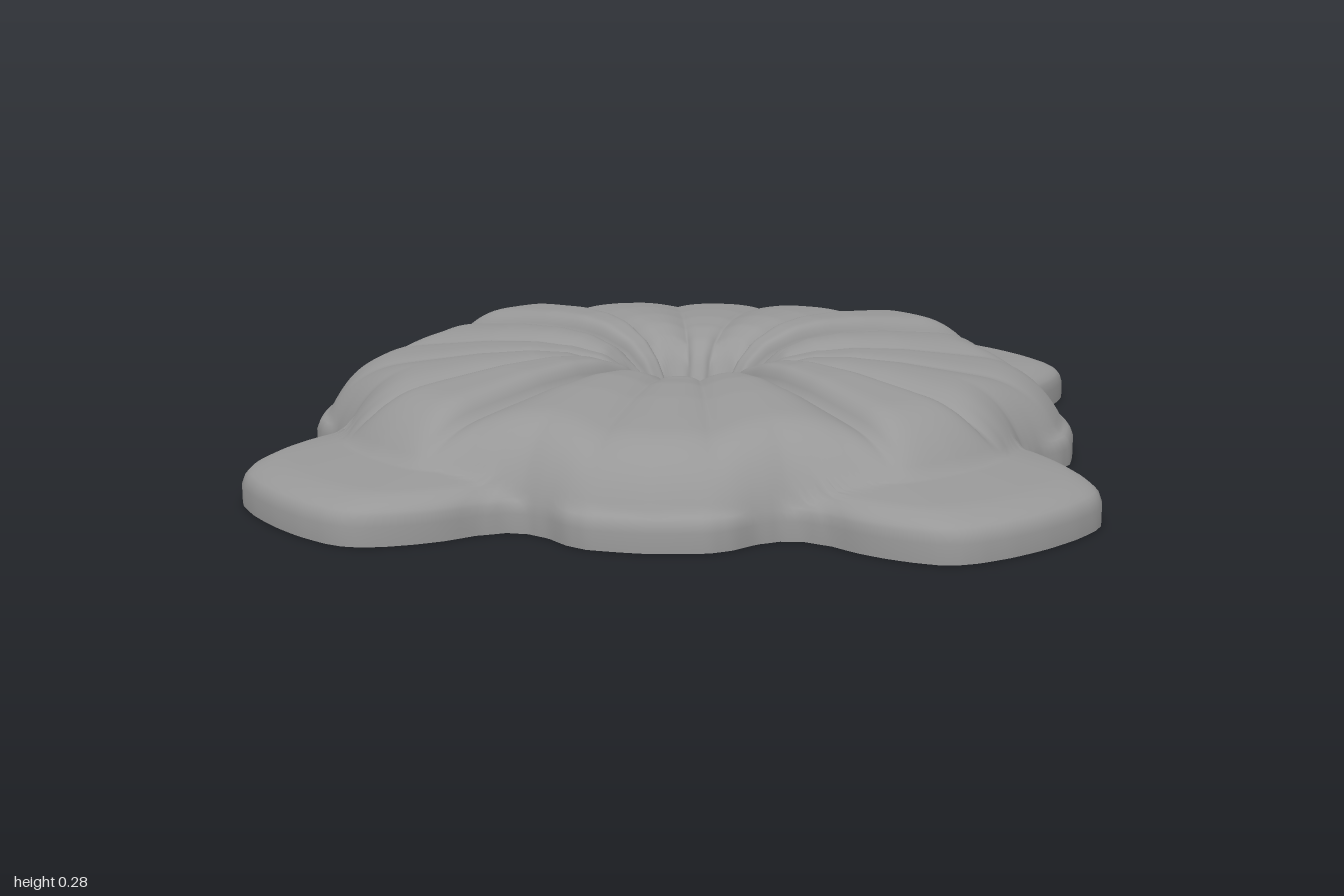
import * as THREE from 'three';

const SEG = 360, RINGS = 80;
const clamp = (v) => Math.min(1, Math.max(0, v));

// Linear lookup in a list of [position, value]
function look(table, v) {
  for (let i = 1; i < table.length; i++) {
    const [a, p] = table[i - 1], [b, q] = table[i];
    if (v <= b) return p + (q - p) * clamp((v - a) / (b - a));
  }
  return table[table.length - 1][1];
}

// Outline radius and foot of the raised petals, by angle (degrees) over one eighth
const OUTLINE = [[0, 0.982], [8, 0.975], [11, 0.957], [14.5, 0.92], [18, 0.908], [21, 0.92], [24, 0.972],
  [26, 1.04], [28, 1.093], [30, 1.139], [32, 1.178], [34, 1.2], [36, 1.21], [40, 1.217], [45, 1.219]];
const FOOT = [[0, 0.955], [9, 0.94], [20, 0.895], [30, 0.92], [35, 0.95], [45, 0.955]];
// Height of the petal ridges from the centre hole outwards
const RIDGE = [[0, 0.08], [0.1, 0.08], [0.13, 0.13], [0.17, 0.19], [0.23, 0.232], [0.32, 0.257],
  [0.42, 0.266], [0.55, 0.262], [0.7, 0.246], [0.85, 0.228], [1, 0.21]];
// Creases between petals, by angle, and how deep they cut
const CREASES = [-9, 9, 35, 55];
const DEPTH = [[9, 0.022], [35, 0.038]];
// Per petal: side, between and corner
const SHARPNESS = [3, 2.5, 5];
const LIFT = [-0.012, -0.002, 0.014];

function height(r, a, R) {
  // Low base lobe with a rounded rim
  const e = 1 - clamp((R - r) / 0.11);
  const low = 0.045 + 0.055 * Math.sqrt(1 - e * e) + 0.035 * clamp((R - r - 0.05) / 0.35);
  // Raised petals, each bulging between two creases
  const k = a < CREASES[1] ? 0 : a < CREASES[2] ? 1 : 2;
  const t = (a - CREASES[k]) / (CREASES[k + 1] - CREASES[k]);
  const bulge = 1 - Math.pow(Math.abs(2 * t - 1), SHARPNESS[k]);
  const depth = look(DEPTH, a) * clamp((r - 0.09) / 0.08);
  const lift = LIFT[k] * bulge * clamp((r - 0.15) / 0.2);
  // the petals beside the corner ones start further from the hole
  const setback = k === 1 ? 0.03 * bulge * clamp((0.35 - r) / 0.15) : 0;
  const top = look(RIDGE, r - setback) - depth * (1 - bulge) + lift;
  const q = 1 - clamp((look(FOOT, a) - r) / 0.2);
  return low + (top - low) * (1 - Math.pow(q, 2.5));
}

// Outline radius at any angle, mirrored eight times
function outlineAt(deg) {
  const m = deg % 90, a = Math.min(m, 90 - m);
  return { a, R: look(OUTLINE, a), th: deg * Math.PI / 180 };
}

function petalSurface() {
  const pos = [], idx = [];
  for (let j = 0; j <= RINGS + 1; j++) {
    // rings gather towards the rim; the last one drops to the ground
    const s = Math.min(1, j / RINGS);
    const f = s + 0.12 * Math.sin(Math.PI * s) * s;
    for (let i = 0; i < SEG; i++) {
      const { a, R, th } = outlineAt(i * 360 / SEG);
      const r = R * Math.min(1, f);
      pos.push(r * Math.cos(th), j > RINGS ? 0 : height(r, a, R), r * Math.sin(th));
    }
  }
  for (let j = 0; j <= RINGS; j++) {
    for (let i = 0; i < SEG; i++) {
      const n = (i + 1) % SEG;
      const a = j * SEG + i, b = j * SEG + n, c = a + SEG, d = b + SEG;
      if (j > 0) idx.push(a, b, c);
      idx.push(b, d, c);
    }
  }
  const g = new THREE.BufferGeometry();
  g.setAttribute('position', new THREE.Float32BufferAttribute(pos, 3));
  g.setIndex(idx);
  g.computeVertexNormals();
  return g;
}

// Flat underside with the same outline
function undersideGeometry() {
  const pts = [];
  for (let i = 0; i < SEG; i++) {
    const { R, th } = outlineAt(i * 360 / SEG);
    pts.push(new THREE.Vector2(R * Math.cos(th), R * Math.sin(th)));
  }
  return new THREE.ShapeGeometry(new THREE.Shape(pts)).rotateX(Math.PI / 2);
}

export function createModel() {
  const group = new THREE.Group();
  group.name = 'flowerRosette';
  const mat = new THREE.MeshStandardMaterial({ color: 0x989898 });
  const add = (name, geo) => {
    const mesh = new THREE.Mesh(geo, mat);
    mesh.name = name;
    group.add(mesh);
  };
  add('petals', petalSurface());
  add('underside', undersideGeometry());
  return group;
}
